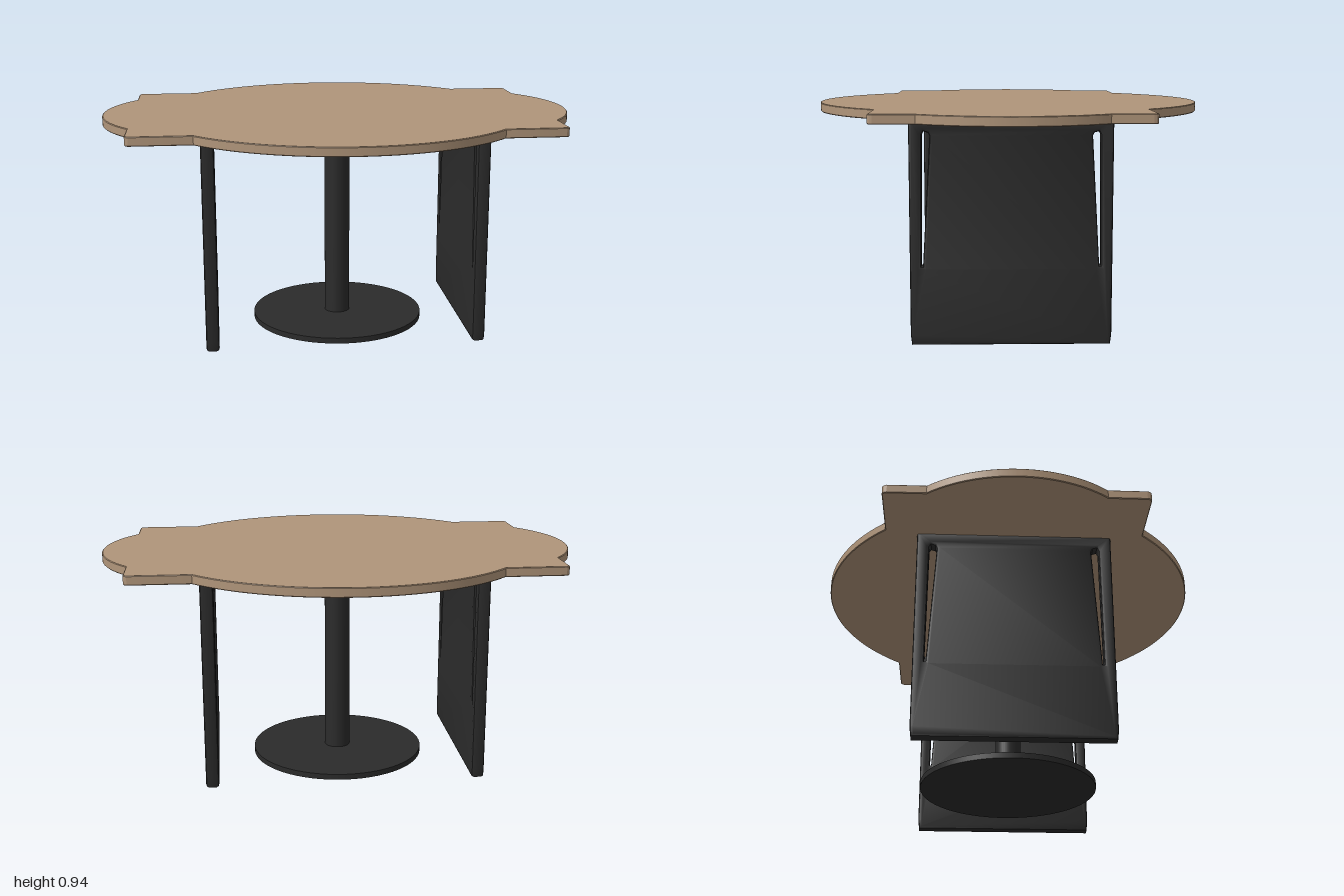
import * as THREE from 'three';
import { toCreasedNormals } from 'three/addons/utils/BufferGeometryUtils.js';

const wood = new THREE.MeshStandardMaterial({ color: 0xb0957a });
wood.name = 'wood';
const black = new THREE.MeshStandardMaterial({ color: 0x2b2b2b });
black.name = 'blackMetal';

// Extrude a shape to an exact total depth, bevelling inside its outline
function extrude(shape, depth, bevel, segments) {
  const geo = new THREE.ExtrudeGeometry(shape, {
    depth: depth - 2 * bevel, curveSegments: 48,
    bevelSize: bevel, bevelThickness: bevel, bevelOffset: -bevel, bevelSegments: segments,
  });
  geo.translate(0, 0, bevel - depth / 2);
  return toCreasedNormals(geo, 0.6);
}

// Top outline: a large circle, two side lobes and a rectangle merged
function topShape() {
  const R = 0.81, r = 0.567, cx = 1 - r, hx = 0.875, hz = 0.53, c = 0.02;
  const a = Math.asin(hz / R), b = Math.asin(0.355 / r);
  const s = new THREE.Shape();
  s.absarc(cx, 0, r, -b, b, false);
  s.lineTo(hx, hz - c);
  s.absarc(hx - c, hz - c, c, 0, Math.PI / 2, false);
  s.absarc(0, 0, R, a, Math.PI - a, false);
  s.absarc(-hx + c, hz - c, c, Math.PI / 2, Math.PI, false);
  s.absarc(-cx, 0, r, Math.PI - b, Math.PI + b, false);
  s.absarc(-hx + c, -hz + c, c, Math.PI, Math.PI * 1.5, false);
  s.absarc(0, 0, R, Math.PI + a, Math.PI * 2 - a, false);
  s.absarc(hx - c, -hz + c, c, -Math.PI / 2, 0, false);
  s.closePath();
  return s;
}

// Leg panel with a tapered slot near each upright edge
function panelShape() {
  const s = new THREE.Shape();
  [[-0.395, 0], [0.395, 0], [0.4, 0.04], [0.4, 0.91], [-0.4, 0.91], [-0.4, 0.04]]
    .forEach(([x, y], i) => (i ? s.lineTo(x, y) : s.moveTo(x, y)));
  s.closePath();
  for (const m of [-1, 1]) {
    const slot = new THREE.Path();
    [[0.354, 0.32], [0.348, 0.32], [0.318, 0.835], [0.324, 0.847], [0.341, 0.852], [0.348, 0.84]]
      .forEach(([x, y], i) => (i ? slot.lineTo(m * x, y) : slot.moveTo(m * x, y)));
    slot.closePath();
    s.holes.push(slot);
  }
  return s;
}

export function createModel() {
  const model = new THREE.Group();
  model.name = 'table';
  const add = (name, geo, mat, x, y) => {
    const mesh = new THREE.Mesh(geo, mat);
    mesh.name = name;
    mesh.position.set(x, y, 0);
    model.add(mesh);
    return mesh;
  };

  // Table top
  add('tableTop', extrude(topShape(), 0.038, 0.003, 1), wood, 0, 0.921).rotation.x = -Math.PI / 2;

  // Side leg panels
  const panel = extrude(panelShape(), 0.055, 0.012, 2);
  add('leftLegPanel', panel, black, 0.5625, 0).rotation.y = Math.PI / 2;
  add('rightLegPanel', panel, black, -0.5625, 0).rotation.y = -Math.PI / 2;

  // Central pedestal
  add('pedestalBase', new THREE.CylinderGeometry(0.375, 0.375, 0.024, 64), black, 0, 0.015);
  add('pedestalColumn', new THREE.CylinderGeometry(0.055, 0.055, 0.86, 40), black, 0, 0.455);
  add('pedestalMount', new THREE.CylinderGeometry(0.25, 0.25, 0.022, 64), black, 0, 0.892);

  return model;
}
